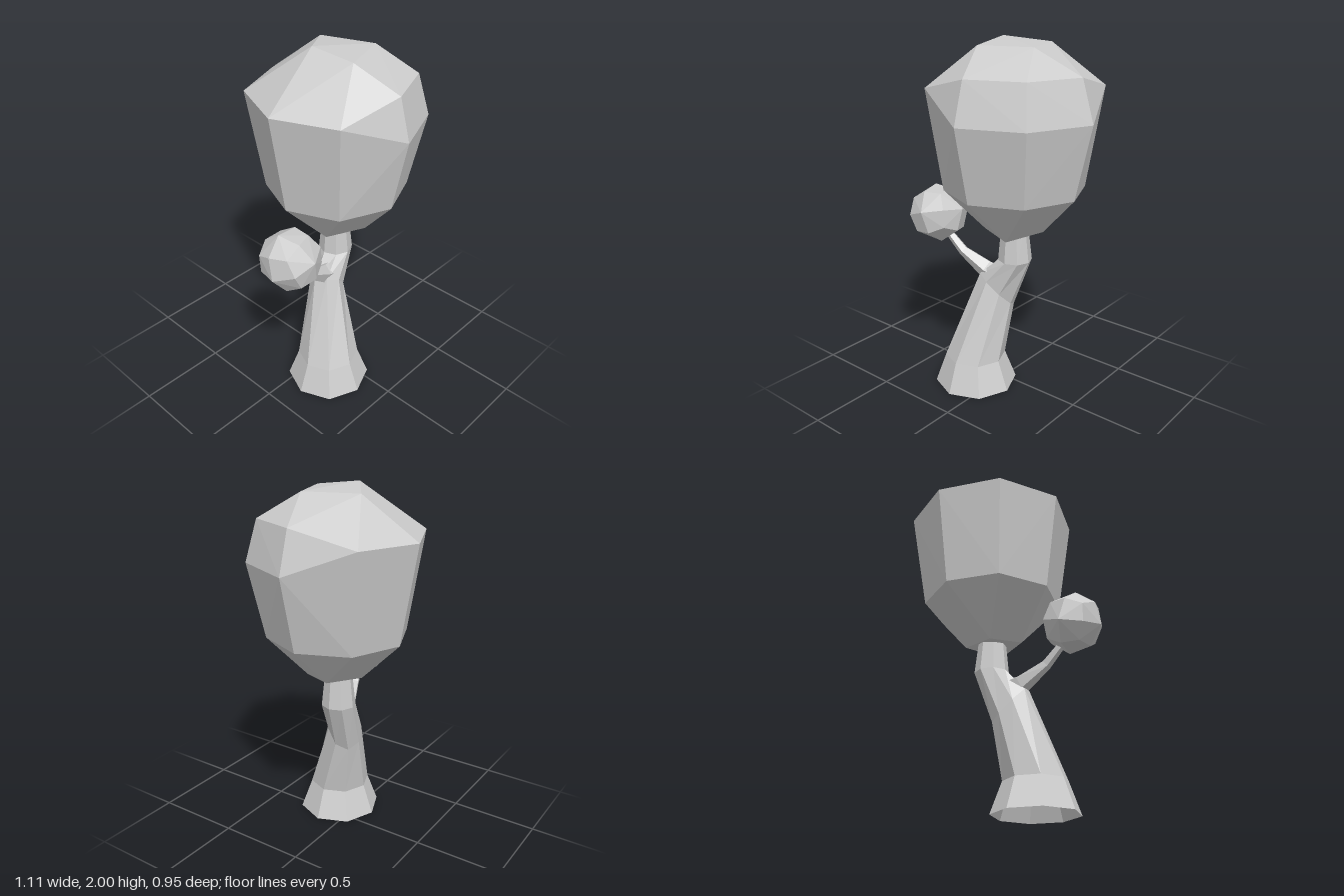
import * as THREE from 'three';
import { ConvexGeometry } from 'three/addons/geometries/ConvexGeometry.js';

const V = (x, y, z) => new THREE.Vector3(x, y, z);
const material = new THREE.MeshStandardMaterial({ color: 0xcccccc, flatShading: true, side: THREE.DoubleSide });

function part(name, geometry) {
  const mesh = new THREE.Mesh(geometry, material);
  mesh.name = name;
  return mesh;
}

// Faceted skin over a list of rings with equal point counts
function loft(rings) {
  const points = [];
  for (let r = 0; r + 1 < rings.length; r++) {
    const low = rings[r], high = rings[r + 1], n = low.length;
    for (let i = 0; i < n; i++) {
      const j = (i + 1) % n;
      points.push(low[i], high[i], low[j], low[j], high[i], high[j]);
    }
  }
  const geometry = new THREE.BufferGeometry().setFromPoints(points);
  geometry.computeVertexNormals();
  return geometry;
}

// Points around a centre; slope raises the front right and lowers the back left
function ring(x, y, z, radius, slope = 0, n = 8) {
  return Array.from({ length: n }, (_, i) => {
    const a = (i / n) * Math.PI * 2, c = Math.cos(a), s = Math.sin(a);
    return V(x + radius * c, y + slope * (s - c), z + radius * s);
  });
}

export function createModel() {
  const tree = new THREE.Group();
  tree.name = 'tree';

  // Leaning trunk with a flared, open foot
  tree.add(part('trunk', loft([
    ring(-0.118, 0, 0.122, 0.238),
    ring(-0.12, 0.17, 0.122, 0.175),
    ring(-0.032, 0.58, 0.025, 0.098, 0.07),
    ring(0.075, 0.78, -0.004, 0.096),
    ring(0.072, 1.0, -0.003, 0.073),
  ])));

  // Tapering side branch, bent halfway
  const stops = [V(0, 0.67, 0.03), V(-0.09, 0.695, 0.05), V(-0.23, 0.785, 0.09), V(-0.36, 0.92, 0.115)];
  const radii = [0.065, 0.055, 0.03, 0.02];
  tree.add(part('branch', loft(stops.map((p, k) => {
    const d = stops[Math.min(k + 1, 3)].clone().sub(stops[Math.max(k - 1, 0)]).normalize();
    const u = d.clone().cross(V(0, 0, 1)).normalize();
    const v = u.clone().cross(d);
    return Array.from({ length: 5 }, (_, i) => {
      const a = (i / 5) * Math.PI * 2;
      return p.clone().addScaledVector(u, radii[k] * Math.cos(a)).addScaledVector(v, radii[k] * Math.sin(a));
    });
  }))));

  // Main crown: faceted hull, higher shoulder at the back and right
  tree.add(part('crown', new ConvexGeometry([
    // underside
    V(-0.08, 0.95, 0.07), V(0.14, 0.945, 0.16), V(0.24, 0.97, -0.04), V(0.0, 0.935, -0.11),
    // lower ring
    ...ring(0.075, 1.2, 0, 0.388),
    // widest ring
    V(0.56, 1.61, 0), V(0.41, 1.61, 0.34), V(0.075, 1.61, 0.475), V(-0.26, 1.75, 0.33),
    V(-0.40, 1.75, -0.005), V(-0.26, 1.75, -0.34), V(0.07, 1.745, -0.48), V(0.41, 1.75, -0.345),
    // bevel on the front left shoulder
    V(0.49, 1.835, 0), V(0.37, 1.835, 0.29), V(0.075, 1.835, 0.41),
    // top
    V(-0.05, 2.0, -0.055), V(0.16, 1.97, -0.2), V(0.26, 1.97, 0.09), V(-0.02, 1.97, 0.19),
  ])));

  // Small crown: rounded two-by-two block, tilted
  const ballPoints = [];
  for (const x of [-1, 0, 1]) for (const y of [-1, 0, 1]) for (const z of [-1, 0, 1]) {
    if (x || y || z) ballPoints.push(V(x, y, z).setLength(0.168));
  }
  const ball = part('smallCrown', new ConvexGeometry(ballPoints));
  ball.position.set(-0.395, 0.99, 0.115);
  ball.rotation.set(-0.25, 0.1, 0.3);
  tree.add(ball);

  return tree;
}
